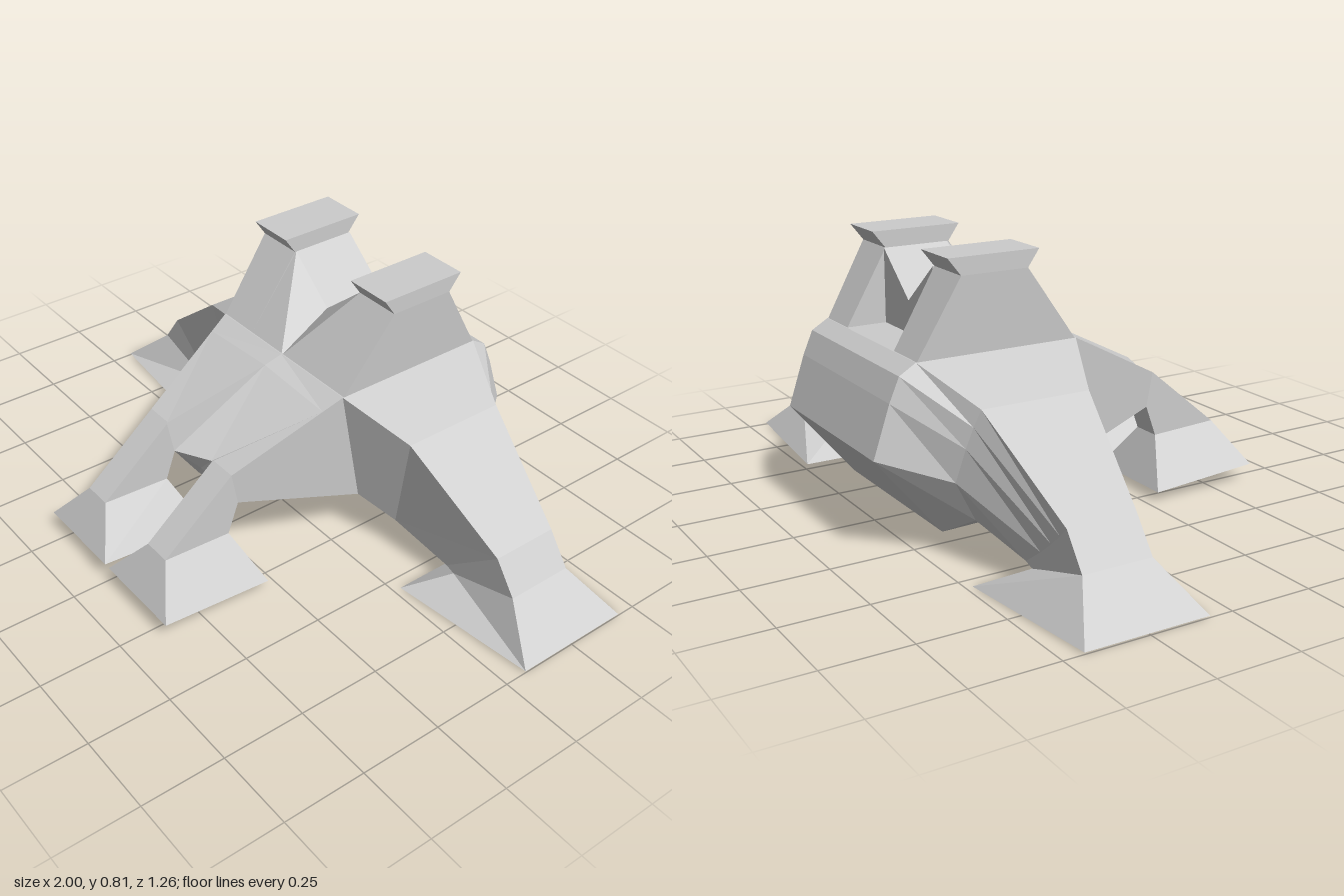
import * as THREE from 'three';

const material = new THREE.MeshStandardMaterial({ color: 0xcccccc, flatShading: true });

// Closed faceted solid through rings of equal point count; s mirrors it in x.
function loft(name, rings, s = 1) {
  const tris = [];
  const quad = (a, b, c, d) => tris.push([a, b, c], [a, c, d]);
  const n = rings[0].length;
  for (let r = 0; r < rings.length - 1; r++) {
    for (let i = 0; i < n; i++) {
      const j = (i + 1) % n;
      quad(rings[r][i], rings[r][j], rings[r + 1][j], rings[r + 1][i]);
    }
  }
  const cap = (ring, flip) => {
    const mid = [0, 1, 2].map((k) => ring.reduce((t, p) => t + p[k], 0) / n);
    ring.forEach((p, i) => {
      const q = ring[(i + 1) % n];
      tris.push(flip ? [mid, q, p] : [mid, p, q]);
    });
  };
  cap(rings[0], true);
  cap(rings[rings.length - 1], false);

  // Signed volume decides which way the faces must turn to point outwards.
  const v = tris.map((t) => t.map(([x, y, z]) => new THREE.Vector3(x * s, y, z)));
  const volume = v.reduce((t, [a, b, c]) => t + a.dot(b.clone().cross(c)), 0);
  const points = v.flatMap(([a, b, c]) => (volume < 0 ? [a, c, b] : [a, b, c]));
  const geometry = new THREE.BufferGeometry().setFromPoints(points);
  geometry.computeVertexNormals();
  const mesh = new THREE.Mesh(geometry, material);
  mesh.name = name;
  return mesh;
}

// Ring at constant x from [z, y] pairs.
const atX = (x, pairs) => pairs.map(([z, y]) => [x, y, z]);

// Four-cornered ring from x range and two [z, y] ends.
const band = (x0, x1, [z0, y0], [z1, y1]) => [
  [x0, y0, z0], [x1, y0, z0], [x1, y1, z1], [x0, y1, z1],
];

export function createModel() {
  const model = new THREE.Group();

  // Trunk: side profile carried across the width
  const profile = [[0, 0.54], [-0.5, 0.54], [-0.55, 0.51], [-0.58, 0.44],
    [-0.63, 0.29], [-0.43, 0.05], [-0.07, 0.165]];
  model.add(loft('trunk', [atX(-0.285, profile), atX(0.285, profile)]));

  for (const s of [1, -1]) {
    const side = s > 0 ? 'left' : 'right';
    const add = (name, rings) => model.add(loft(side + name, rings, s));

    // Hind leg: from the trunk profile out to the ankle
    const ankle = [[0.86, 0.125, -0.145], [0.86, 0.125, -0.355], [0.82, 0.113, -0.355],
      [0.77, 0.098, -0.355], [0.71, 0.08, -0.355], [0.63, 0.055, -0.355], [0.63, 0.055, -0.145]];
    add('HindLeg', [
      atX(0.285, profile),
      [[0.48, 0.45, -0.085], [0.48, 0.45, -0.415], [0.465, 0.4, -0.43], [0.45, 0.34, -0.445],
        [0.42, 0.24, -0.46], [0.4, 0.115, -0.39], [0.4, 0.115, -0.12]],
      [[0.79, 0.22, -0.145], [0.79, 0.22, -0.355], [0.76, 0.19, -0.355], [0.72, 0.155, -0.355],
        [0.67, 0.115, -0.355], [0.6, 0.065, -0.355], [0.6, 0.065, -0.145]],
      ankle,
    ]);

    // Hind foot: flared from the ankle down to a flat sole
    add('HindFoot', [
      [ankle[0], ankle[1], ankle[5], ankle[6]],
      [[1, 0.005, -0.07], [1, 0.005, -0.44], [0.54, 0, -0.48], [0.54, 0, -0.025]],
    ]);

    // Chest half: slopes forward to the tops of the front legs
    add('Chest', [
      [[0, 0.54, 0], [0.285, 0.54, 0], [0.285, 0.165, -0.07], [0, 0.15, -0.01]],
      [[0, 0.525, 0.06], [0.27, 0.509, 0.06], [0.268, 0.185, 0], [0, 0.168, 0.05]],
      [[0, 0.36, 0.385], [0.115, 0.37, 0.335], [0.115, 0.265, 0.31], [0, 0.245, 0.305]],
    ]);

    // Front leg and its flared foot
    const wrist = band(0.115, 0.205, [0.56, 0.18], [0.345, 0.17]);
    add('FrontLeg', [
      [[0.1, 0.54, 0], [0.285, 0.54, 0], [0.285, 0.165, -0.07], [0.1, 0.16, -0.03]],
      band(0.115, 0.205, [0.33, 0.37], [0.31, 0.265]),
      wrist,
    ]);
    add('FrontFoot', [wrist, band(0.01, 0.31, [0.635, 0.055], [0.283, 0.03])]);

    // Brow: slanted saddle between the eye posts
    const brow = (x, y) => atX(x, [[0, 0.535], [-0.17, y], [-0.375, y], [-0.375, 0.535]]);
    add('Brow', [brow(0, 0.635), brow(0.15, 0.76)]);

    // Eye post and its flared cap
    const top = [[0.15, 0.76, -0.165], [0.3, 0.76, -0.165], [0.3, 0.76, -0.37], [0.15, 0.76, -0.37]];
    add('EyePost', [
      [[0.15, 0.535, 0], [0.285, 0.535, 0], [0.285, 0.535, -0.5], [0.15, 0.535, -0.5]],
      top,
    ]);
    add('EyeCap', [top, band(0.15, 0.3, [-0.13, 0.81], [-0.41, 0.81])]);
  }
  return model;
}
